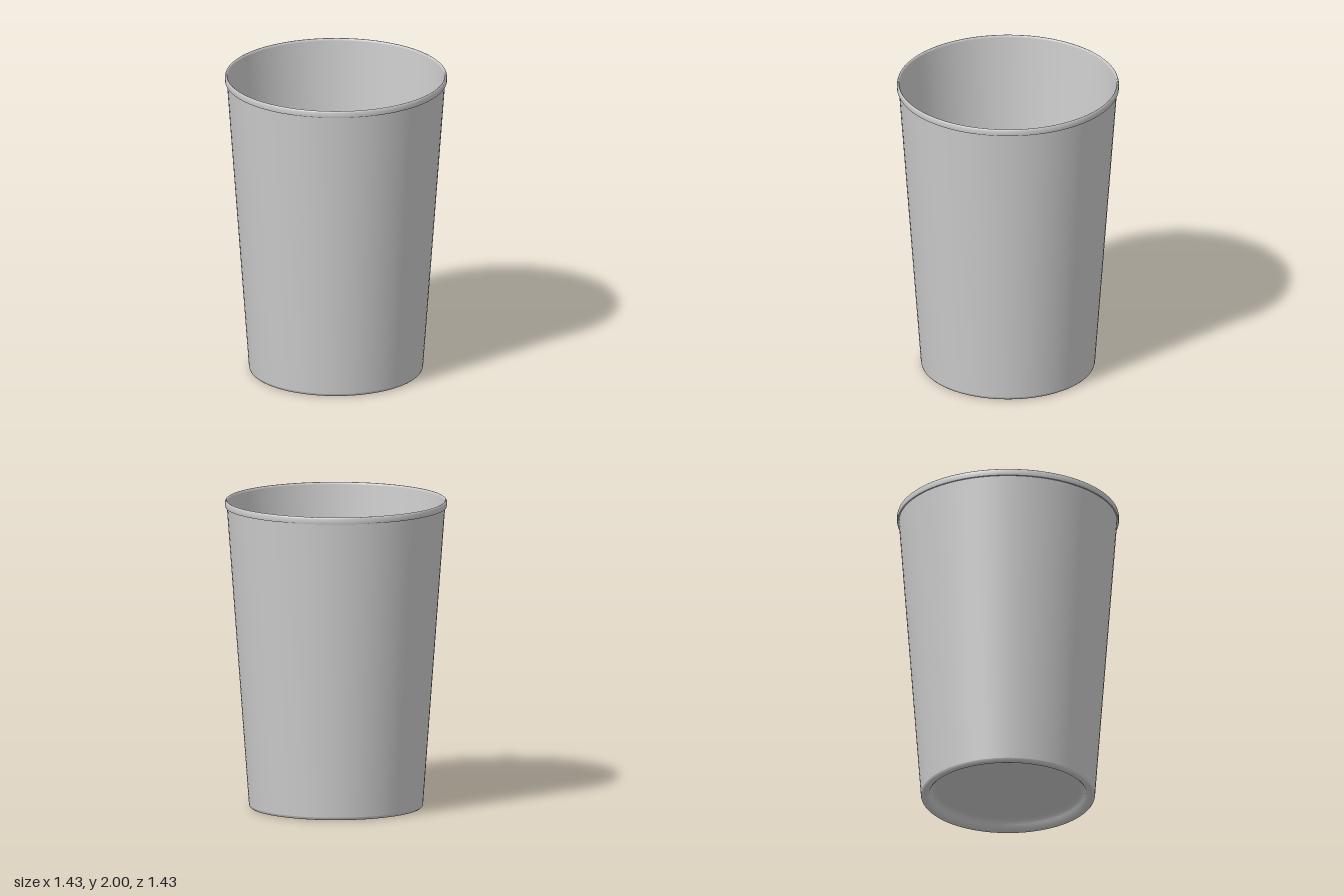
import * as THREE from 'three';

const SEGMENTS = 96;

export function createModel() {
  const cup = new THREE.Group();
  cup.name = 'cup';
  const paper = new THREE.MeshStandardMaterial({ color: 0xcccccc });
  paper.name = 'light grey';

  // Revolve a profile; each part is smooth, with sharp seams between parts
  const revolve = (name, profile) => {
    const points = profile.map(([r, y]) => new THREE.Vector2(r, y));
    const mesh = new THREE.Mesh(new THREE.LatheGeometry(points, SEGMENTS), paper);
    mesh.name = name;
    cup.add(mesh);
  };

  // Recessed underside, curving down to the foot and round to the wall
  revolve('underside', [
    [0, 0.07], [0.42, 0.07], [0.465, 0.066], [0.485, 0.055], [0.497, 0.035],
    [0.507, 0.015], [0.52, 0.003], [0.535, 0], [0.55, 0.003], [0.557, 0.01], [0.56, 0.02],
  ]);

  // Tapered outer wall
  revolve('outerWall', [[0.56, 0.02], [0.702, 1.955]]);

  // Rolled rim: flat lower lip, then a rounded band
  revolve('rimLip', [[0.70, 1.955], [0.711, 1.955]]);
  revolve('rim', [
    [0.711, 1.955], [0.7135, 1.962], [0.714, 1.975], [0.7135, 1.988],
    [0.711, 1.996], [0.707, 2], [0.702, 1.998], [0.698, 1.992], [0.697, 1.985],
  ]);

  // Tapered inner wall
  revolve('innerWall', [[0.697, 1.985], [0.551, 0.03]]);

  // Inside floor: a flat channel around a raised centre
  revolve('floor', [
    [0.551, 0.03], [0.53, 0.027], [0.518, 0.03], [0.508, 0.045],
    [0.498, 0.065], [0.485, 0.077], [0.46, 0.081], [0.42, 0.082], [0, 0.082],
  ]);

  return cup;
}
